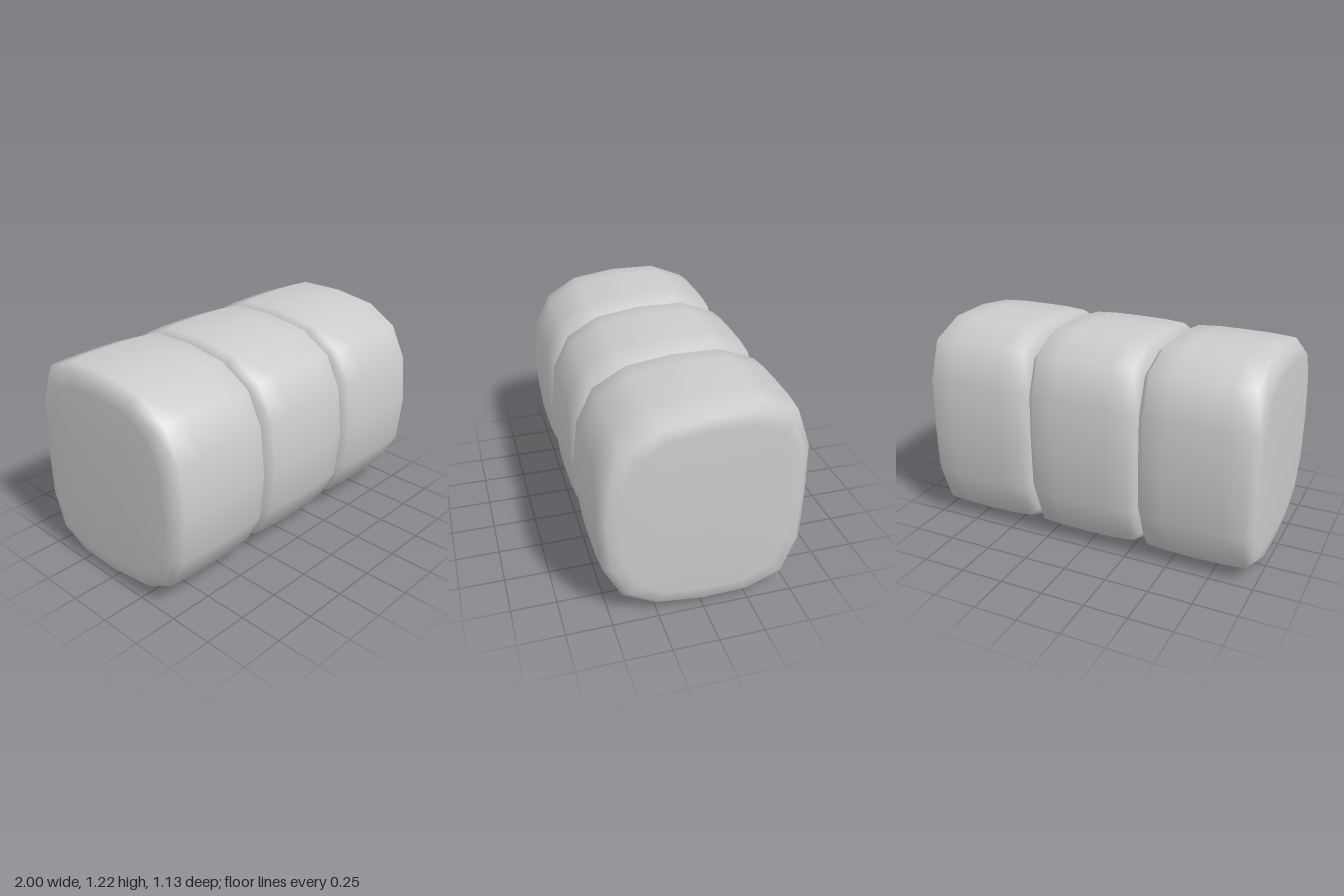
import * as THREE from 'three';

// Cushion outline as [z, y], from the top round the back, underside and front
const OUTLINE = [
  [0, 1.22], [-0.27, 1.215], [-0.475, 1.13], [-0.555, 0.905],
  [-0.562, 0.61], [-0.555, 0.315], [-0.475, 0.095], [-0.27, 0.01],
  [0, 0.004], [0.26, 0.04], [0.44, 0.14], [0.54, 0.335],
  [0.565, 0.615], [0.535, 0.89], [0.44, 1.08], [0.26, 1.185],
];
const MID_Y = 0.612;

// Half of the lengthwise section as [x, scale]: bulged cap, bevel, crowned side
const HALF = [
  [0.34, 0.4], [0.335, 0.8], [0.325, 0.913], [0.285, 0.983], [0.16, 0.997],
];

function cushionGeometry() {
  const sections = [
    ...HALF.map(([x, s]) => [-x, s]),
    [0, 1],
    ...[...HALF].reverse(),
  ];
  const n = OUTLINE.length;
  const positions = [];
  const index = [];

  for (const [x, s] of sections)
    for (const [z, y] of OUTLINE) positions.push(x, MID_Y + (y - MID_Y) * s, z * s);

  // Skin between neighbouring sections
  for (let r = 0; r < sections.length - 1; r++)
    for (let i = 0; i < n; i++) {
      const a = r * n + i, b = r * n + (i + 1) % n;
      index.push(a, a + n, b, b, a + n, b + n);
    }

  // End caps fan out from a centre point
  const left = positions.length / 3, right = left + 1;
  positions.push(-0.34, MID_Y, 0, 0.34, MID_Y, 0);
  const last = (sections.length - 1) * n;
  for (let i = 0; i < n; i++) {
    const j = (i + 1) % n;
    index.push(left, i, j, right, last + j, last + i);
  }

  const geometry = new THREE.BufferGeometry();
  geometry.setAttribute('position', new THREE.Float32BufferAttribute(positions, 3));
  geometry.setIndex(index);
  geometry.computeVertexNormals();
  return geometry;
}

export function createModel() {
  const group = new THREE.Group();
  group.name = 'cushionRow';
  const material = new THREE.MeshStandardMaterial({ color: 0xcccccc });
  const geometry = cushionGeometry();

  // Three equal cushions pressed side by side
  ['rightCushion', 'middleCushion', 'leftCushion'].forEach((name, i) => {
    const cushion = new THREE.Mesh(geometry, material);
    cushion.name = name;
    cushion.position.x = (i - 1) * 0.66;
    group.add(cushion);
  });
  return group;
}
